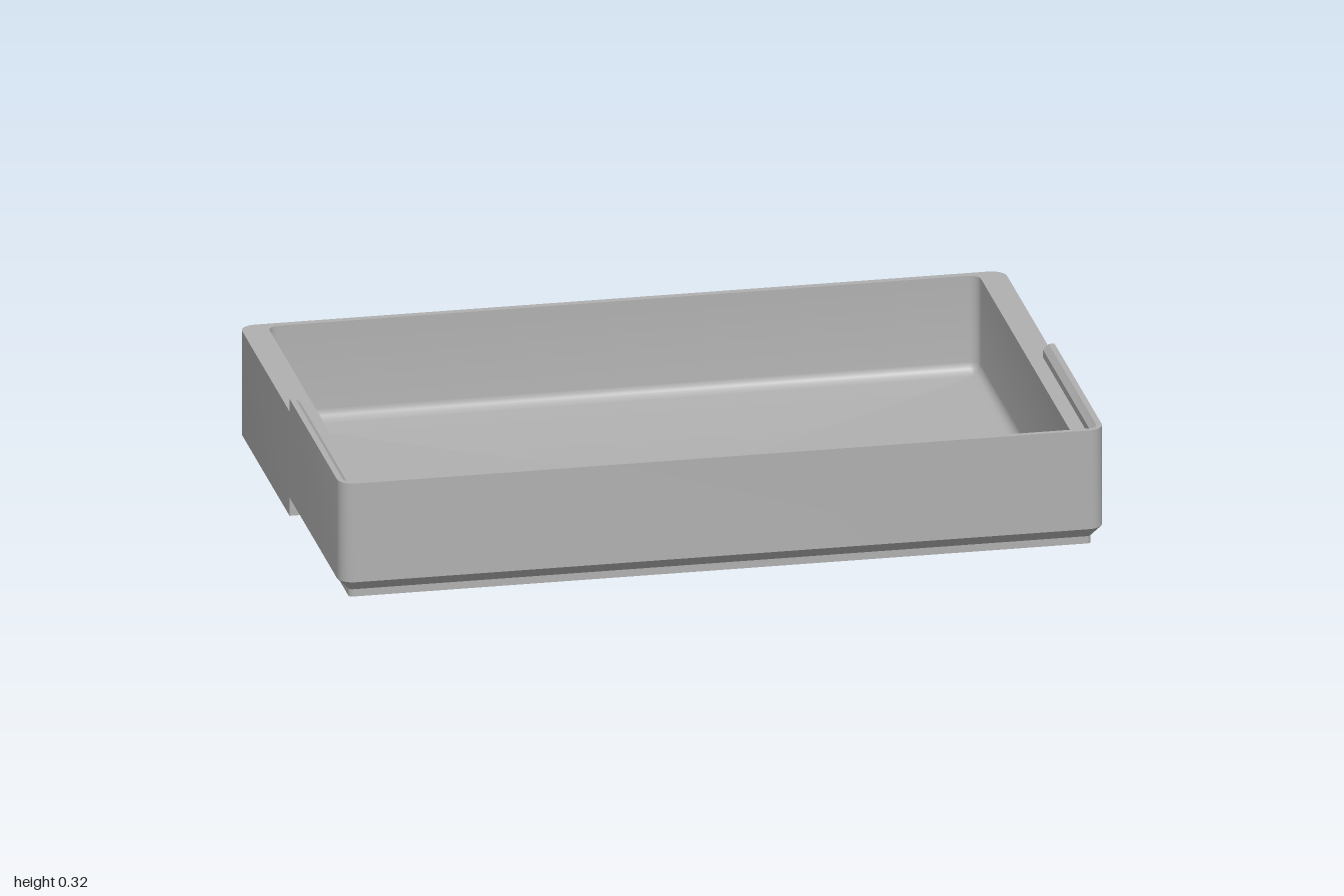
import * as THREE from 'three';
import { toCreasedNormals } from 'three/addons/utils/BufferGeometryUtils.js';

const CORNER_STEPS = 6;

// Rounded rectangle with separate inset and height for the front and back halves.
// Two points sit at z = 0 on each side, so the halves can step apart there.
function ring({ w = 1, front = 0.64, back = 0.64, r = 0.04, inF = 0, inB = 0, yF, yB = yF }) {
  const pts = [];
  const arc = (cx, cz, rad, start, y) => {
    for (let i = 0; i <= CORNER_STEPS; i++) {
      const a = start + (i / CORNER_STEPS) * Math.PI / 2;
      pts.push(new THREE.Vector3(cx + rad * Math.cos(a), y, cz + rad * Math.sin(a)));
    }
  };
  const rf = Math.max(r - inF, 0.01), rb = Math.max(r - inB, 0.01);
  const xf = w - inF, xb = w - inB, zf = front - inF, zb = back - inB;
  pts.push(new THREE.Vector3(xf, yF, 0));
  arc(xf - rf, zf - rf, rf, 0, yF);
  arc(-xf + rf, zf - rf, rf, Math.PI / 2, yF);
  pts.push(new THREE.Vector3(-xf, yF, 0), new THREE.Vector3(-xb, yB, 0));
  arc(-xb + rb, -zb + rb, rb, Math.PI, yB);
  arc(xb - rb, -zb + rb, rb, Math.PI * 1.5, yB);
  pts.push(new THREE.Vector3(xb, yB, 0));
  return pts;
}

// Skin a list of rings and close both ends with fans
function loft(rings) {
  const pos = [];
  const tri = (a, b, c) => {
    const area = b.clone().sub(a).cross(c.clone().sub(a)).length();
    if (area > 1e-9) for (const p of [a, b, c]) pos.push(p.x, p.y, p.z);
  };
  const n = rings[0].length;
  for (let k = 0; k < rings.length - 1; k++) {
    for (let i = 0; i < n; i++) {
      const j = (i + 1) % n;
      const a = rings[k][i], b = rings[k][j], c = rings[k + 1][j], d = rings[k + 1][i];
      tri(a, d, c);
      tri(a, c, b);
    }
  }
  const first = rings[0], last = rings[rings.length - 1];
  const c0 = new THREE.Vector3(0, first[0].y, 0), c1 = new THREE.Vector3(0, last[0].y, 0);
  for (let i = 0; i < n; i++) {
    const j = (i + 1) % n;
    tri(c0, first[i], first[j]);
    tri(c1, last[j], last[i]);
  }
  const g = new THREE.BufferGeometry();
  g.setAttribute('position', new THREE.Float32BufferAttribute(pos, 3));
  return toCreasedNormals(g, 0.55);
}

export function createModel() {
  const group = new THREE.Group();
  group.name = 'stackingTray';
  const grey = new THREE.MeshStandardMaterial({ color: 0xb0b0b0 });
  grey.name = 'grey';

  const rim = 0.285, lip = 0.32, floor = 0.02, fillet = 0.03;
  const cavity = (inset, y) =>
    ring({ w: 0.93, front: 0.6, back: 0.62, r: 0.02 + fillet * 0.3, inF: inset, inB: inset, yF: y });

  const rings = [
    // Undercut foot and sloped underside of the front half
    ring({ inF: 0.03, yF: 0 }),
    ring({ inF: 0.03, yF: 0.02, yB: 0.02 }),
    ring({ yF: 0.05 }),
    // Outer wall, then the raised lip around the front half
    ring({ yF: lip, yB: rim }),
    ring({ inF: 0.015, yF: lip, yB: rim }),
    ring({ inF: 0.03, yF: lip - 0.015, yB: rim }),
    ring({ inF: 0.03, yF: rim }),
    // Rim and inner wall
    cavity(0, rim),
  ];
  // Rounded join between the inner wall and the floor
  for (let i = 0; i <= 5; i++) {
    const a = (i / 5) * Math.PI / 2;
    rings.push(cavity(fillet * (1 - Math.cos(a)), floor + fillet * (1 - Math.sin(a))));
  }
  const body = new THREE.Mesh(loft(rings), grey);
  body.name = 'trayBody';
  group.add(body);

  // Small locking ridges on the foot, two per side
  const ridgeGeo = new THREE.CylinderGeometry(0.008, 0.008, 0.018, 12);
  for (const side of [-1, 1]) {
    for (const z of [0.045, 0.07]) {
      const ridge = new THREE.Mesh(ridgeGeo, grey);
      ridge.name = 'lockingRidge';
      ridge.position.set(side * 0.97, 0.018, z);
      group.add(ridge);
    }
  }
  return group;
}
